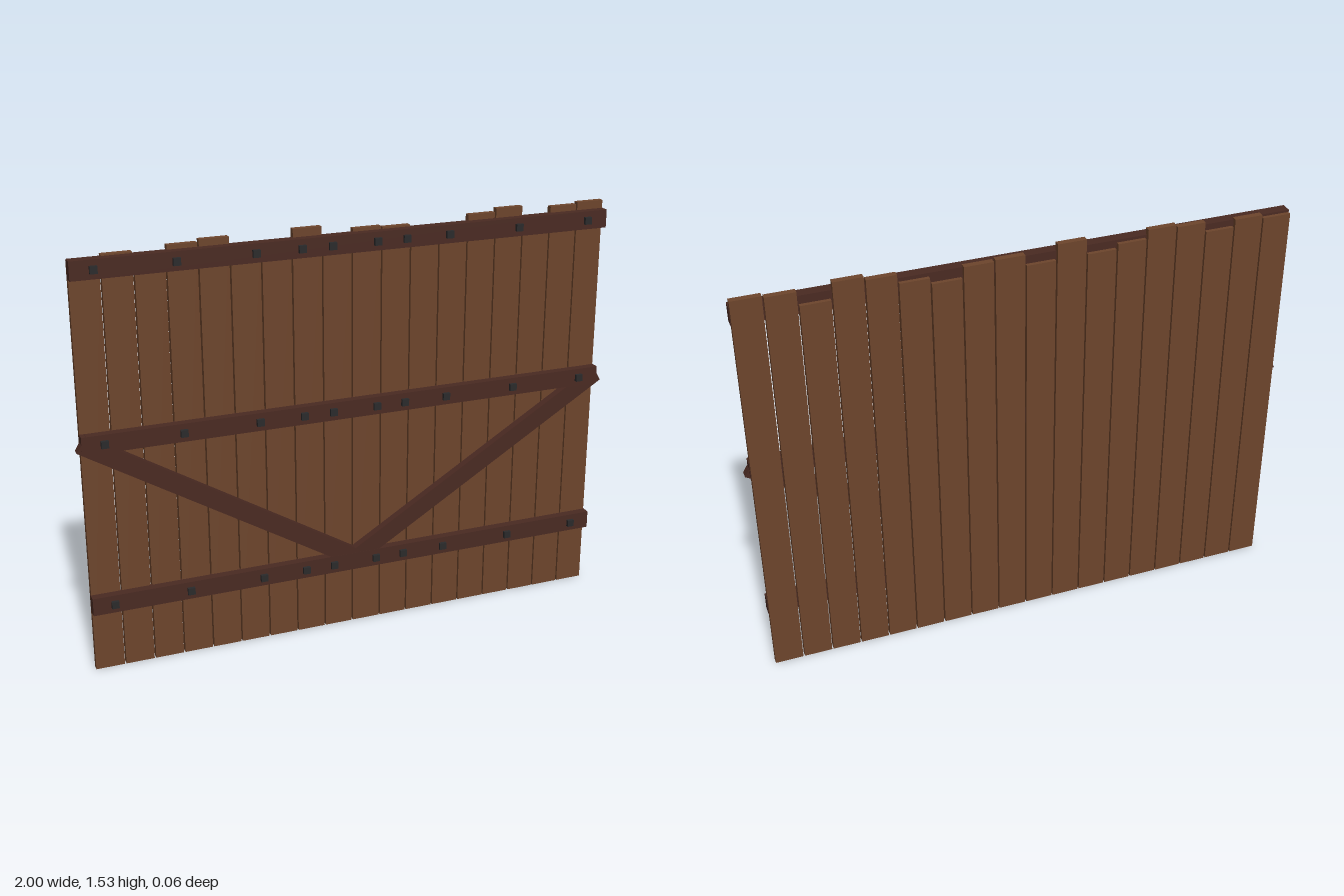
import * as THREE from 'three';

export function createModel() {
  const gate = new THREE.Group();
  gate.name = 'plankGate';

  const mat = (name, color) => {
    const m = new THREE.MeshStandardMaterial({ color });
    m.name = name;
    return m;
  };
  const plankWood = mat('plank brown', 0x6d452c);
  const railWood = mat('dark rail brown', 0x4a2a22);
  const iron = mat('bolt iron', 0x2a2a2b);

  // Box given by its centre, size and z extent
  const box = (name, material, x, y, w, h, zBack, zFront, tilt = 0) => {
    const mesh = new THREE.Mesh(new THREE.BoxGeometry(w, h, zFront - zBack), material);
    mesh.name = name;
    mesh.position.set(x, y, (zBack + zFront) / 2);
    mesh.rotation.z = tilt;
    gate.add(mesh);
  };

  // Upright planks with uneven tops, from -x to +x
  const tops = [1.49, 1.503, 1.475, 1.513, 1.522, 1.488, 1.47, 1.527, 1.468,
    1.509, 1.504, 1.462, 1.485, 1.519, 1.532, 1.468, 1.52, 1.527];
  const pitch = 0.1093;
  tops.forEach((h, i) => {
    box('plank', plankWood, (i - 8.5) * pitch, h / 2, 0.1035, h, -0.032, -0.01);
  });

  // Three cross rails, each with a row of square bolts
  const boltX = [-0.905, -0.63, -0.357, -0.194, -0.085, 0.081, 0.19, 0.353, 0.625, 0.903];
  for (const y of [0.262, 0.864, 1.465]) {
    box('crossRail', railWood, 0, y, 1.965, 0.066, -0.018, 0.021);
    for (const x of boltX) box('bolt', iron, x, y, 0.026, 0.026, 0.018, 0.033);
  }

  // Two diagonal braces meeting at the middle of the bottom rail
  const run = 0.983, rise = 0.595;
  for (const side of [-1, 1]) {
    box('diagonalBrace', railWood, side * run / 2, 0.275 + rise / 2,
      Math.hypot(run, rise), 0.065, -0.0105, 0.0205, side * Math.atan2(rise, run));
  }

  return gate;
}
